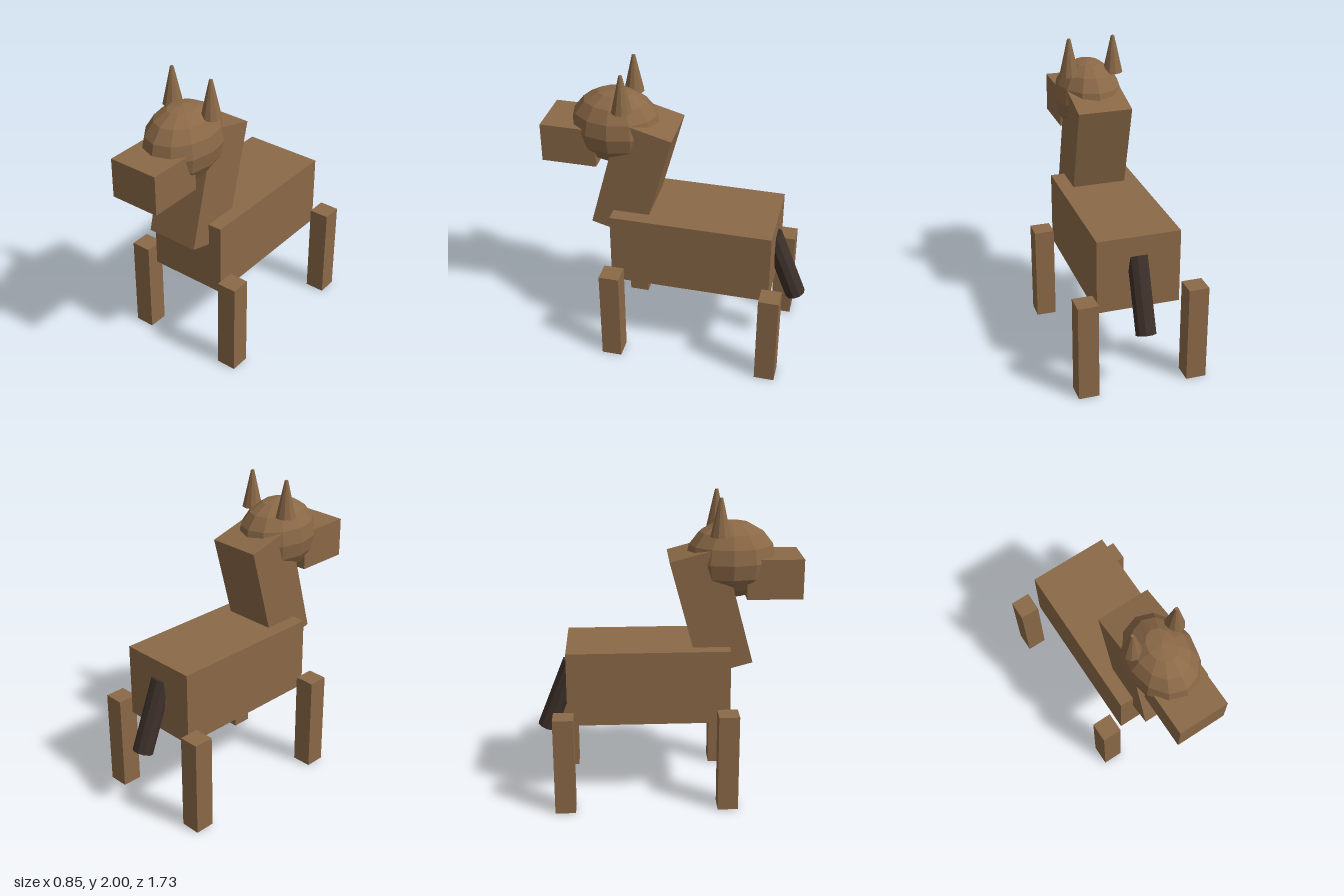
import * as THREE from 'three';

const coat = new THREE.MeshStandardMaterial({ color: 0x8b6947, flatShading: true });
const dark = new THREE.MeshStandardMaterial({ color: 0x3d302a, flatShading: true });
const CX = 0.01; // the body and head sit slightly off the legs' centre line

export function createModel() {
  const group = new THREE.Group();
  group.name = 'blockyHorse';

  const add = (name, geometry, x, y, z, material = coat) => {
    const mesh = new THREE.Mesh(geometry, material);
    mesh.name = name;
    mesh.position.set(x, y, z);
    group.add(mesh);
    return mesh;
  };
  const box = (name, w, h, d, x, y, z) => add(name, new THREE.BoxGeometry(w, h, d), x, y, z);

  // Body and leaning neck
  box('body', 0.54, 0.49, 1.055, CX, 0.79, -0.123);
  box('neck', 0.355, 0.789, 0.347, CX, 1.262, 0.284).rotation.x = THREE.MathUtils.degToRad(-15);

  // Faceted ellipsoid head with a box snout
  add('head', new THREE.SphereGeometry(1, 12, 8), CX, 1.578, 0.417).scale.set(0.223, 0.253, 0.293);
  box('snout', 0.335, 0.26, 0.36, CX, 1.475, 0.69);

  for (const [side, s] of [['left', 1], ['right', -1]]) {
    // Ears: narrow blunt cones
    add(side + 'Ear', new THREE.CylinderGeometry(0.011, 0.065, 0.245, 10), CX + s * 0.148, 1.8775, 0.335);
    // Legs stand clear of the body
    box(side + 'FrontLeg', 0.133, 0.65, 0.133, s * 0.36, 0.325, 0.383);
    box(side + 'BackLeg', 0.133, 0.65, 0.133, s * 0.36, 0.325, -0.673);
  }

  // Tail: dark rod slanting back and down
  const tail = new THREE.CylinderGeometry(0.067, 0.067, 0.4915, 10).rotateY(Math.PI / 2);
  add('tail', tail, CX, 0.662, -0.708, dark).rotation.x = THREE.MathUtils.degToRad(21.5);

  return group;
}
